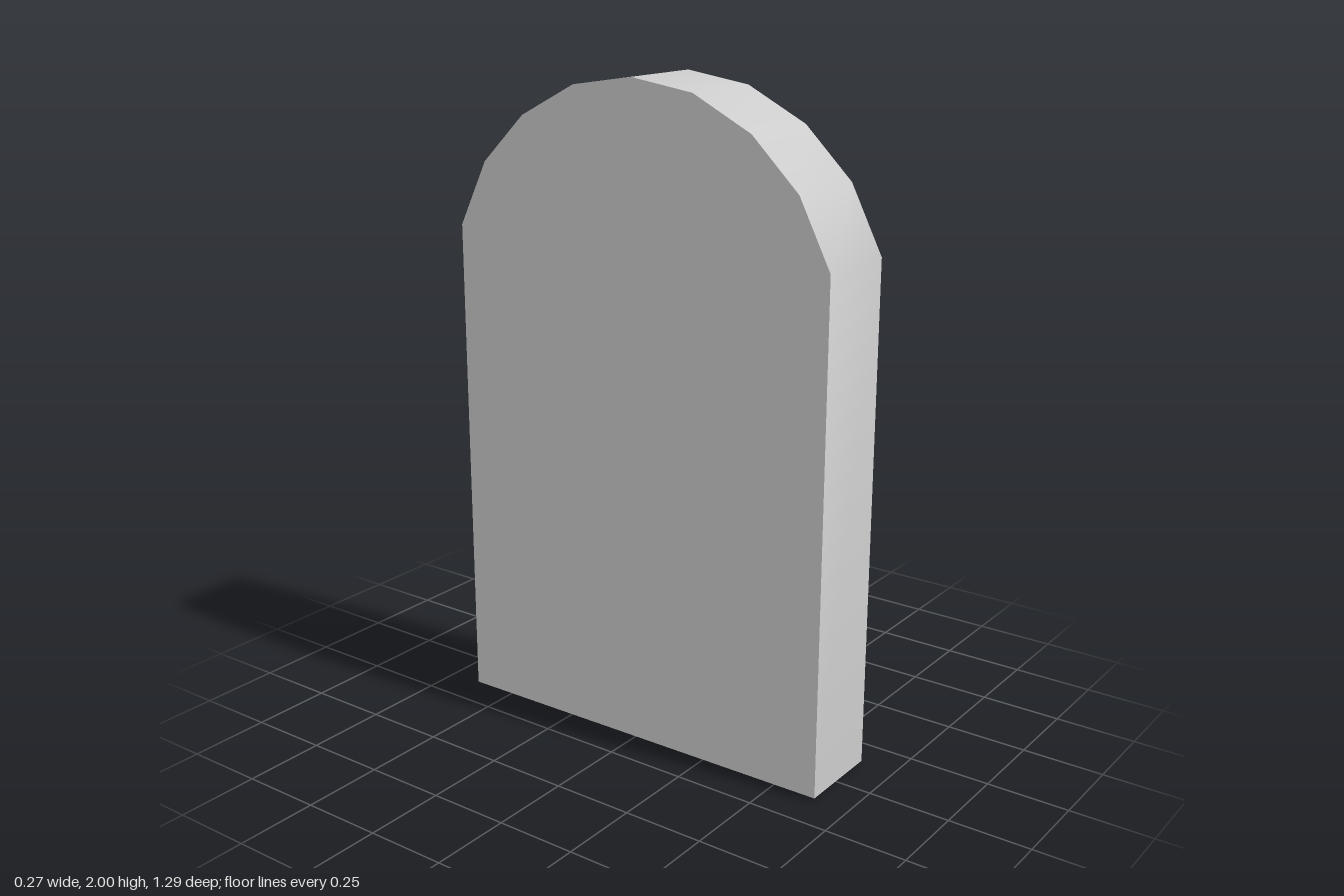
import * as THREE from 'three';
import { toCreasedNormals } from 'three/addons/utils/BufferGeometryUtils.js';

const THICKNESS = 0.27;

export function createModel() {
  const group = new THREE.Group();
  group.name = 'archedSlab';

  // Side outline as (z, y): nearly level base, straight sides, faceted round top
  const outline = [
    [0.645, 0.01], [0.645, 1.535], [0.545, 1.73], [0.395, 1.875], [0.205, 1.97], [0, 2],
    [-0.205, 1.968], [-0.395, 1.87], [-0.545, 1.724], [-0.645, 1.525], [-0.645, 0],
  ].map(([z, y]) => new THREE.Vector2(z, y));

  // Extrude across the thickness, then turn the outline into the z-y plane
  const extruded = new THREE.ExtrudeGeometry(new THREE.Shape(outline), {
    depth: THICKNESS,
    bevelEnabled: false,
  });
  extruded.rotateY(-Math.PI / 2);
  extruded.translate(THICKNESS / 2, 0, 0);

  // Smooth over the arch, sharp at the flat faces and base
  const slab = new THREE.Mesh(
    toCreasedNormals(extruded, 0.65),
    new THREE.MeshStandardMaterial({ color: 0xcccccc }),
  );
  slab.name = 'slab';
  group.add(slab);
  return group;
}
